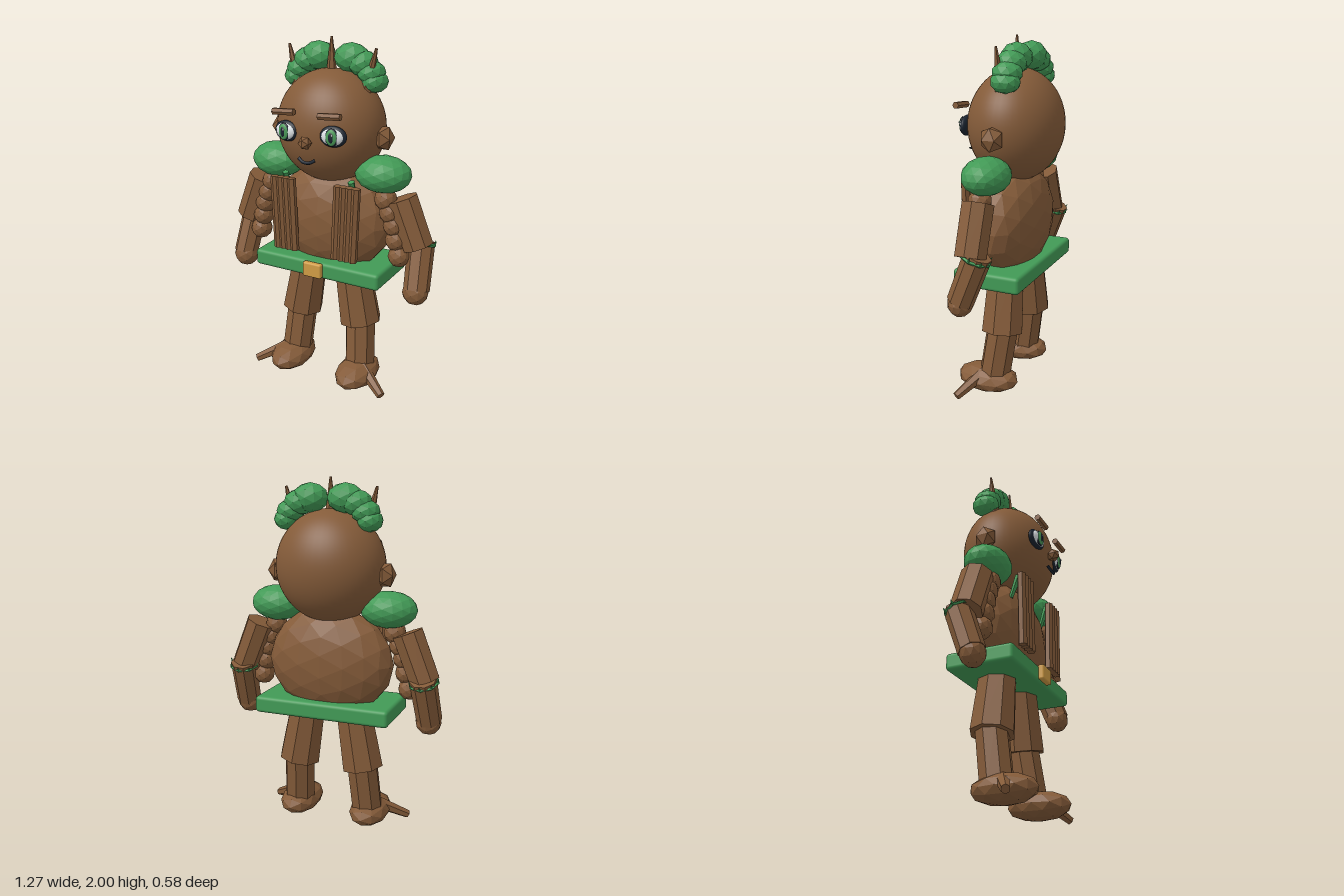
import * as THREE from 'three';
import { RoundedBoxGeometry } from 'three/addons/geometries/RoundedBoxGeometry.js';

const paint = (name, color) => Object.assign(new THREE.MeshStandardMaterial({ color }), { name });

export function createModel() {
  const model = new THREE.Group();
  model.name = 'treeFigure';
  const bark = paint('bark brown', 0x845b39);
  const leaf = paint('leaf green', 0x429a56);
  const gold = paint('buckle gold', 0xd09c45);
  const dark = paint('dark outline', 0x1b2430);
  const white = paint('eye white', 0xe6ebee);
  const iris = paint('iris green', 0x4c9c5a);

  const V = (p) => new THREE.Vector3(...p);
  function add(name, geo, mat, pos = [0, 0, 0], parent = model) {
    const mesh = new THREE.Mesh(geo, mat);
    mesh.name = name;
    mesh.position.set(...pos);
    parent.add(mesh);
    return mesh;
  }
  // facet normals for carved-looking parts
  function facet(geo) {
    const g = geo.index ? geo.toNonIndexed() : geo;
    g.computeVertexNormals();
    return g;
  }
  function blob(name, mat, pos, size, detail = 1) {
    const g = new THREE.IcosahedronGeometry(1, detail);
    g.scale(...size);
    return add(name, facet(g), mat, pos);
  }
  function ball(name, mat, pos, size, parent = model) {
    const g = new THREE.SphereGeometry(1, 32, 20);
    g.scale(...size);
    return add(name, g, mat, pos, parent);
  }
  // faceted limb running from a to b
  function limb(name, mat, a, b, ra, rb, sides = 8) {
    const dir = V(b).sub(V(a));
    const g = facet(new THREE.CylinderGeometry(rb, ra, dir.length(), sides));
    const m = add(name, g, mat, V(a).add(V(b)).multiplyScalar(0.5).toArray());
    m.quaternion.setFromUnitVectors(new THREE.Vector3(0, 1, 0), dir.normalize());
    return m;
  }

  // Head, torso, nose
  const head = new THREE.SphereGeometry(1, 48, 32);
  head.scale(0.31, 0.31, 0.26);
  add('head', head, bark, [0, 1.525, -0.03]);
  blob('torso', bark, [0, 0.99, -0.03], [0.37, 0.31, 0.175], 2);
  blob('nose', bark, [0, 1.485, 0.255], [0.036, 0.038, 0.04], 0);

  // Mouth
  const smile = new THREE.CatmullRomCurve3(
    [[-0.05, 1.395, 0.235], [-0.025, 1.38, 0.243], [0, 1.376, 0.245], [0.025, 1.38, 0.243], [0.05, 1.395, 0.235]].map(V));
  add('mouth', new THREE.TubeGeometry(smile, 16, 0.009, 8), dark);

  // Belt and buckle
  add('belt', new RoundedBoxGeometry(0.79, 0.095, 0.385, 3, 0.02), leaf, [0, 0.737, -0.02]);
  add('buckle', new RoundedBoxGeometry(0.116, 0.085, 0.035, 2, 0.01), gold, [0, 0.743, 0.186]);

  // Crown twig in the middle
  limb('crownTwig', bark, [0, 1.8, -0.03], [0, 2, -0.03], 0.03, 0.006, 6);

  for (const s of [1, -1]) {
    const side = s > 0 ? 'left' : 'right';
    const m = ([x, y, z]) => [s * x, y, z];

    // Eye
    const eye = new THREE.Group();
    eye.name = side + 'Eye';
    eye.position.set(s * 0.14, 1.525, 0.205);
    eye.rotation.y = s * 0.12;
    model.add(eye);
    ball('eyeRim', dark, [0, 0, 0], [0.076, 0.056, 0.026], eye);
    ball('eyeWhite', white, [0, 0, 0.01], [0.062, 0.045, 0.024], eye);
    ball('irisRim', dark, [0, 0, 0.024], [0.036, 0.047, 0.013], eye);
    ball('iris', iris, [0, 0, 0.028], [0.031, 0.042, 0.012], eye);
    ball('pupil', dark, [0, 0, 0.035], [0.015, 0.028, 0.008], eye);
    ball('eyeGlint', white, [0.008, 0.014, 0.041], [0.005, 0.007, 0.004], eye);

    // Brow and ear
    limb(side + 'Brow', bark, [s * 0.137 - 0.064, 1.63, 0.24], [s * 0.137 + 0.064, 1.637, 0.24], 0.019, 0.019, 6);
    blob(side + 'Ear', bark, m([0.315, 1.49, -0.03]), [0.06, 0.073, 0.068], 0);

    // Leafy hair
    [[0.1, 1.89, 0.1, 0.08], [0.165, 1.865, 0.085, 0.07], [0.215, 1.82, 0.078, 0.063], [0.24, 1.775, 0.068, 0.06]]
      .forEach(([x, y, rx, ry]) => blob(side + 'HairTuft', leaf, m([x, y, -0.072]), [rx, ry, 0.083]));
    limb(side + 'CrownTwig', bark, m([0.21, 1.73, -0.03]), m([0.262, 1.95, -0.03]), 0.034, 0.007, 6);

    // Chest bark strips
    for (let i = 0; i < 4; i++) {
      const x = 0.138 + i * 0.036;
      limb(side + 'BarkStrip', bark, m([x - 0.008, 0.83, 0.162]), m([x + 0.008, 1.25, 0.162]), 0.025, 0.025, 6);
    }

    // Shoulder moss and collar leaf
    blob(side + 'ShoulderMoss', leaf, m([0.33, 1.3, -0.005]), [0.16, 0.102, 0.128], 2);
    limb(side + 'CollarLeaf', leaf, m([0.21, 1.14, 0.08]), m([0.205, 1.27, 0.125]), 0.012, 0.02, 5);

    // Arm
    limb(side + 'UpperArm', bark, m([0.44, 1.18, -0.01]), m([0.545, 0.92, -0.015]), 0.09, 0.088);
    limb(side + 'Forearm', bark, m([0.545, 0.94, -0.06]), m([0.565, 0.685, 0.035]), 0.075, 0.072);
    blob(side + 'Hand', bark, m([0.56, 0.675, 0.037]), [0.074, 0.075, 0.068]);
    [[0.36, 1.17], [0.39, 1.1], [0.415, 1.03], [0.43, 0.95], [0.45, 0.86]]
      .forEach(([x, y]) => blob(side + 'ArmKnot', bark, m([x, y, 0.02]), [0.062, 0.064, 0.066]));

    // Elbow leaf band
    const band = new THREE.Group();
    band.name = side + 'ElbowLeaves';
    band.position.set(s * 0.547, 0.922, -0.045);
    band.rotation.set(-0.35, 0, s * 0.1);
    model.add(band);
    const ring = new THREE.TorusGeometry(0.079, 0.009, 4, 8);
    ring.rotateX(Math.PI / 2);
    add('leafRing', facet(ring), leaf, [0, 0, 0], band);
    for (let i = 0; i < 8; i++) {
      const a = (i / 8) * Math.PI * 2;
      const tip = add('leafTip', facet(new THREE.ConeGeometry(0.01, 0.035, 4)), leaf,
        [0.082 * Math.cos(a), 0.012, 0.082 * Math.sin(a)], band);
      tip.rotation.set(0.4 * Math.sin(a), 0, -0.4 * Math.cos(a));
    }

    // Leg, foot and toe twig
    limb(side + 'Thigh', bark, m([0.14, 0.72, -0.03]), m([0.198, 0.38, -0.03]), 0.105, 0.122);
    limb(side + 'Shin', bark, m([0.195, 0.42, -0.035]), m([0.217, 0.1, 0.01]), 0.09, 0.09);
    blob(side + 'Foot', bark, m([0.222, 0.085, 0.05]), [0.116, 0.08, 0.185]);
    limb(side + 'ToeTwig', bark, m([0.26, 0.125, 0.06]), m([0.425, 0.035, 0.152]), 0.038, 0.024, 6);
  }
  return model;
}
